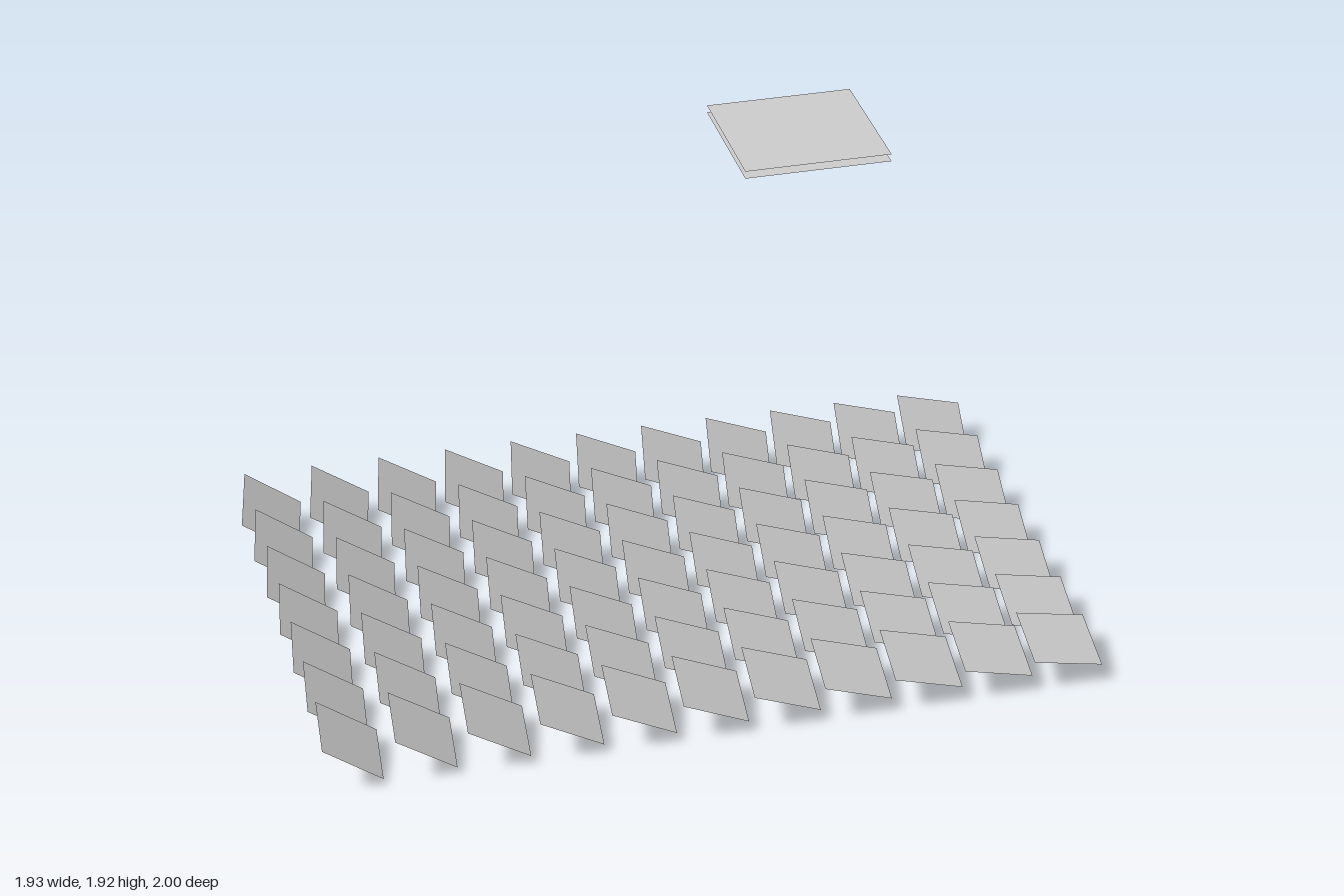
import * as THREE from 'three';

// A field of square mirrors, each tilted to reflect sunlight onto a raised target plate.
export function createModel() {
  const group = new THREE.Group();
  const material = new THREE.MeshStandardMaterial({ color: 0xcccccc, side: THREE.DoubleSide });

  const pitch = 0.175, columns = 11, rows = 7;
  const targetTop = new THREE.Vector3(0, 1.922, 0.845);
  const sun = new THREE.Vector3(1, 1, 0).normalize();

  // Target: two thin parallel sheets
  const target = new THREE.Group();
  target.name = 'targetPlate';
  const sheet = new THREE.PlaneGeometry(0.31, 0.31);
  for (const [name, drop, turn] of [['targetTop', 0, -1], ['targetUnderside', 0.016, 1]]) {
    const mesh = new THREE.Mesh(sheet, material);
    mesh.name = name;
    mesh.rotation.x = turn * Math.PI / 2;
    mesh.position.copy(targetTop);
    mesh.position.y -= drop;
    target.add(mesh);
  }
  group.add(target);

  // Mirrors: the normal halves the angle between sun and target
  const field = new THREE.Group();
  field.name = 'mirrorField';
  const mirrorShape = new THREE.PlaneGeometry(pitch, pitch);
  for (let r = 0; r < rows; r++) {
    for (let c = 0; c < columns; c++) {
      const mirror = new THREE.Mesh(mirrorShape, material);
      mirror.name = `mirror_${r + 1}_${c + 1}`;
      mirror.position.set((c - (columns - 1) / 2) * pitch, 0.077, -0.918 + r * pitch);
      const normal = targetTop.clone().sub(mirror.position).normalize().add(sun).normalize();
      // One pair of edges stays parallel to the x-y plane
      const across = new THREE.Vector3(normal.y, -normal.x, 0).normalize();
      const along = new THREE.Vector3().crossVectors(normal, across);
      mirror.quaternion.setFromRotationMatrix(new THREE.Matrix4().makeBasis(across, along, normal));
      field.add(mirror);
    }
  }
  group.add(field);

  return group;
}
